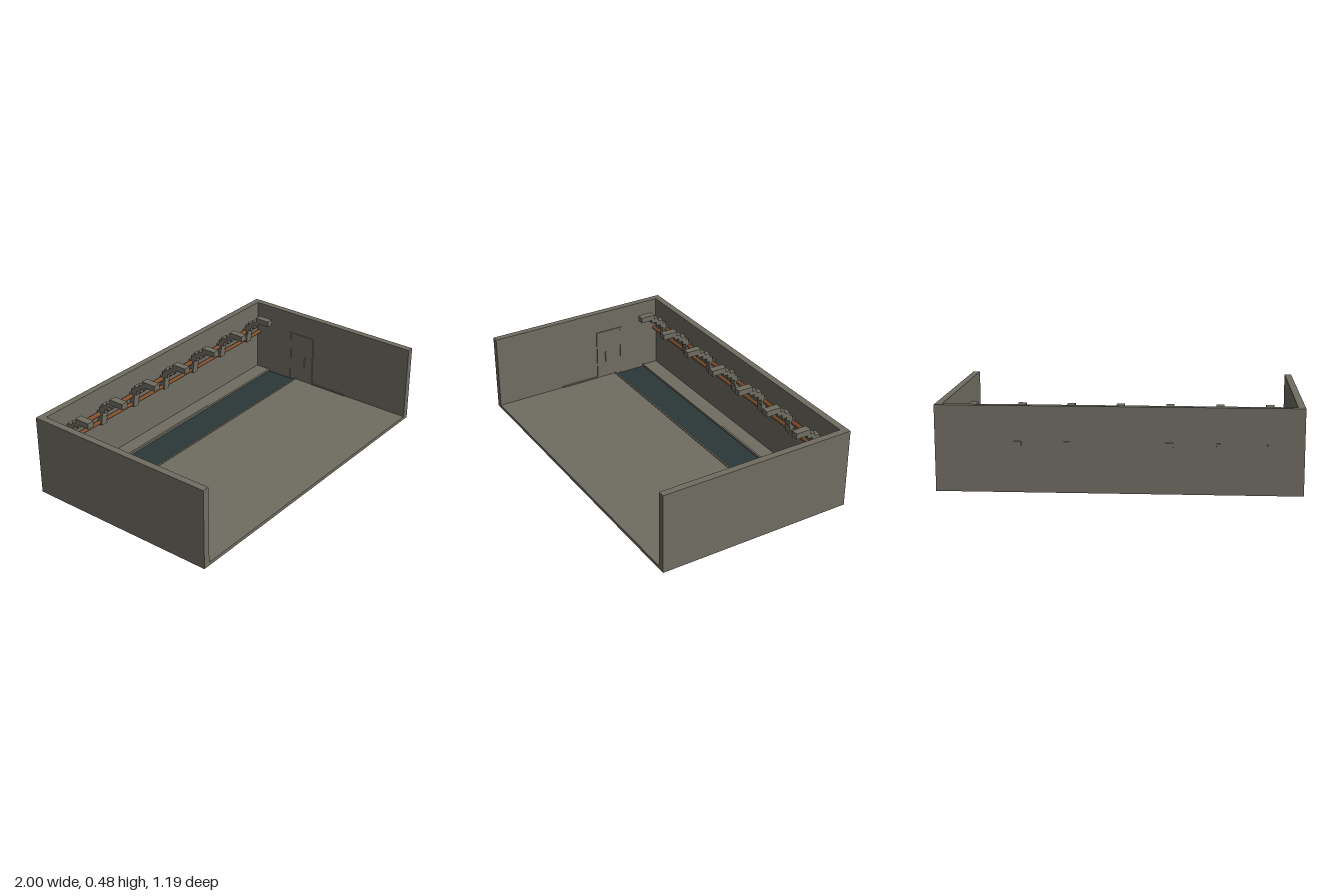
import * as THREE from 'three';

export function createModel() {
  const model = new THREE.Group();
  const mat = (name, color) => {
    const m = new THREE.MeshStandardMaterial({ color });
    m.name = name;
    return m;
  };
  const concrete = mat('concrete', 0x706d62);
  const water = mat('dark water', 0x2b3837);
  const copper = mat('rusty copper', 0x7d4f2e);

  // Box given by its lower and upper limits on each axis
  const box = (name, x0, x1, y0, y1, z0, z1, material = concrete, parent = model) => {
    const mesh = new THREE.Mesh(new THREE.BoxGeometry(x1 - x0, y1 - y0, z1 - z0), material);
    mesh.position.set((x0 + x1) / 2, (y0 + y1) / 2, (z0 + z1) / 2);
    mesh.name = name;
    parent.add(mesh);
    return mesh;
  };

  // Shell: three walls, open front and top
  box('backWall', -0.96, 0.96, 0, 0.48, -0.59, -0.55);
  box('leftWall', 0.96, 1, 0, 0.48, -0.59, 0.59);
  box('rightWall', -1, -0.96, 0, 0.48, -0.59, 0.59);

  // Floor with a water channel near the back
  box('floorBase', -0.96, 0.96, 0, 0.006, -0.55, 0.59);
  box('mainFloor', -0.96, 0.96, 0.006, 0.02, -0.23, 0.59);
  box('frontCurb', -0.96, 0.96, 0.006, 0.025, -0.24, -0.23);
  box('backLedge', -0.96, 0.96, 0.006, 0.02, -0.55, -0.46);
  box('backCurb', -0.96, 0.96, 0.006, 0.025, -0.46, -0.447);
  box('water', -0.955, 0.955, 0.006, 0.012, -0.447, -0.24, water);

  // Side doors: panel, frame, handle and threshold on both inner walls
  for (const s of [1, -1]) {
    const door = new THREE.Group();
    door.name = s > 0 ? 'leftDoor' : 'rightDoor';
    model.add(door);
    const plate = (name, depth, y0, y1, z0, z1) => {
      const a = s * 0.96, b = s * (0.96 - depth);
      box(name, Math.min(a, b), Math.max(a, b), y0, y1, z0, z1, concrete, door);
    };
    plate('doorPanel', 0.003, 0.02, 0.335, -0.275, -0.115);
    plate('frameTop', 0.006, 0.335, 0.345, -0.287, -0.104);
    plate('frameFront', 0.006, 0.02, 0.335, -0.115, -0.104);
    plate('frameBack', 0.006, 0.02, 0.335, -0.287, -0.275);
    plate('handle', 0.01, 0.125, 0.195, -0.172, -0.163);
    plate('threshold', 0.006, 0.02, 0.028, -0.104, 0.15);
  }

  // Two pipes along the back wall
  for (const [name, y, z, r] of [['upperPipe', 0.33, -0.535, 0.014], ['lowerPipe', 0.276, -0.535, 0.012]]) {
    const pipe = new THREE.Mesh(new THREE.CylinderGeometry(r, r, 1.92, 10), copper);
    pipe.rotation.z = Math.PI / 2;
    pipe.position.set(0, y, z);
    pipe.name = name;
    model.add(pipe);
  }

  // Stepped bracket arms, rising from the wall out over the channel: [y0, y1, z0, z1]
  const steps = [
    [0.26, 0.285, -0.597, -0.517],
    [0.285, 0.315, -0.545, -0.515],
    [0.315, 0.35, -0.55, -0.51],
    [0.35, 0.38, -0.53, -0.49],
    [0.375, 0.405, -0.51, -0.46],
    [0.4, 0.425, -0.475, -0.425],
    [0.42, 0.455, -0.445, -0.35],
  ];
  for (let i = -3; i <= 3; i++) {
    const bracket = new THREE.Group();
    bracket.name = 'bracket';
    bracket.position.x = i * 0.274;
    for (const [y0, y1, z0, z1] of steps) box('bracketStep', -0.022, 0.022, y0, y1, z0, z1, concrete, bracket);
    model.add(bracket);
  }
  return model;
}
